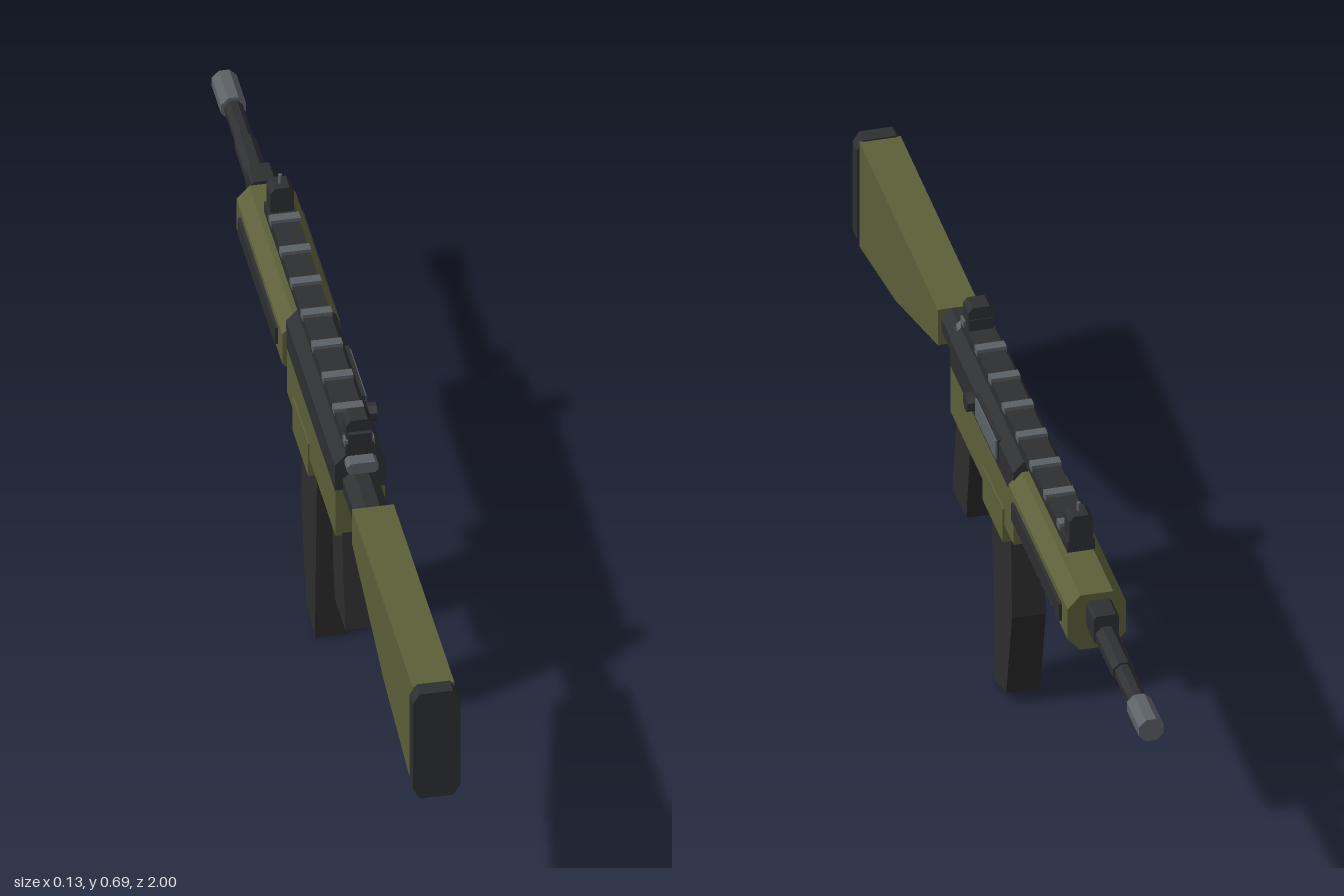
import * as THREE from 'three';

const mat = (name, color) => {
  const m = new THREE.MeshStandardMaterial({ color });
  m.name = name;
  return m;
};

export function createModel() {
  const black = mat('black metal', 0x2e2f31);
  const polymer = mat('black polymer', 0x2d2d2d);
  const green = mat('olive green', 0x5c6038);
  const steel = mat('grey steel', 0x5c6167);

  const model = new THREE.Group();
  model.name = 'rifle';
  const body = new THREE.Group();
  body.name = 'body';
  body.position.x = -0.003;
  model.add(body);

  const add = (name, geo, material) => {
    const g = geo.index ? geo.toNonIndexed() : geo;
    g.computeVertexNormals(); // flat facets
    const mesh = new THREE.Mesh(g, material);
    mesh.name = name;
    body.add(mesh);
    return mesh;
  };
  const toShape = (pts) => new THREE.Shape(pts.map(([x, y]) => new THREE.Vector2(x, y)));

  // Box given by half width and y / z ranges
  const box = (name, material, hw, y0, y1, z0, z1, x = 0) =>
    add(name, new THREE.BoxGeometry(hw * 2, y1 - y0, Math.abs(z1 - z0))
      .translate(x, (y0 + y1) / 2, (z0 + z1) / 2), material);

  // Side profile of [z, y] points, extruded across x
  const side = (name, material, hw, pts) =>
    add(name, new THREE.ExtrudeGeometry(toShape(pts), { depth: hw * 2, bevelEnabled: false })
      .translate(0, 0, -hw).rotateY(-Math.PI / 2), material);

  // Cross-section with separate top and bottom chamfers, extruded along z
  const bar = (name, material, hw, y0, y1, zMin, zMax, top, bottom) => {
    const [tx, ty] = top, [bx, by] = bottom;
    const half = [[hw - bx, y0], [hw, y0 + by], [hw, y1 - ty], [hw - tx, y1]];
    const pts = [...half, ...half.map(([x, y]) => [-x, y]).reverse()]
      .filter((p, i, a) => i === 0 || p[0] !== a[i - 1][0] || p[1] !== a[i - 1][1]);
    return add(name, new THREE.ExtrudeGeometry(toShape(pts), { depth: zMax - zMin, bevelEnabled: false })
      .translate(0, 0, zMin), material);
  };

  // Faceted rod along z
  const rod = (name, material, r, y, zMin, zMax, sides = 8) =>
    add(name, new THREE.CylinderGeometry(r, r, zMax - zMin, sides)
      .rotateY(Math.PI / sides).rotateX(Math.PI / 2).translate(0, y, (zMin + zMax) / 2), material);

  // Stock
  side('stock', green, 0.039, [[0.97, 0.342], [0.97, 0.57], [0.4, 0.565], [0.4, 0.488], [0.705, 0.391]]);
  bar('buttPlate', black, 0.044, 0.338, 0.573, 0.968, 1, [0.013, 0.02], [0.013, 0.022]);
  rod('stockTube', black, 0.035, 0.532, 0.27, 0.42);

  // Receiver
  bar('upperReceiver', black, 0.047, 0.522, 0.6, -0.18, 0.28, [0.02, 0.022], [0, 0]);
  box('lowerReceiver', green, 0.046, 0.42, 0.523, -0.178, 0.28);
  box('magazineWell', green, 0.049, 0.383, 0.455, -0.11, 0.038);
  bar('chargingHandle', steel, 0.029, 0.574, 0.597, 0.27, 0.307, [0.006, 0.006], [0.006, 0.006]);
  box('ejectionPortFrame', black, 0.004, 0.533, 0.584, -0.075, 0.085, 0.045);
  box('ejectionPort', steel, 0.004, 0.538, 0.579, -0.07, 0.078, 0.048);
  add('boltAssist', new THREE.CylinderGeometry(0.018, 0.018, 0.03, 8)
    .rotateY(Math.PI / 8).rotateZ(Math.PI / 2).translate(0.05, 0.558, 0.1), black);

  // Grip, trigger and guard
  side('grip', polymer, 0.034, [[0.28, 0.425], [0.18, 0.425], [0.212, 0.229], [0.313, 0.229]]);
  box('trigger', steel, 0.006, 0.368, 0.425, 0.117, 0.128);
  box('triggerGuardBottom', black, 0.014, 0.332, 0.343, 0.05, 0.17);
  box('triggerGuardFront', black, 0.014, 0.332, 0.425, 0.048, 0.059);

  // Magazine
  side('magazine', polymer, 0.032,
    [[0.037, 0.4], [0.016, 0], [-0.07, 0.026], [-0.112, 0.215], [-0.104, 0.4]]);

  // Handguard with side panels and lower rail
  bar('handguard', green, 0.055, 0.46, 0.578, -0.605, -0.175, [0.024, 0.026], [0.024, 0.026]);
  for (const s of [-1, 1]) {
    box('handguardPanel', black, 0.005, 0.502, 0.538, -0.565, -0.215, s * 0.056);
  }
  box('lowerRail', black, 0.027, 0.445, 0.465, -0.56, -0.215);

  // Top rail with cross ribs
  box('topRail', black, 0.026, 0.599, 0.622, -0.492, 0.28);
  for (let i = 0; i < 8; i++) {
    const z = -0.43 + i * 0.0995;
    box('railRib', steel, 0.028, 0.615, 0.629, z - 0.01, z + 0.01);
  }

  // Sights
  bar('rearSight', black, 0.024, 0.622, 0.67, 0.234, 0.273, [0.008, 0.01], [0, 0]);
  box('rearSightBase', black, 0.022, 0.618, 0.645, 0.232, 0.282);
  bar('frontSight', black, 0.022, 0.62, 0.675, -0.492, -0.454, [0.008, 0.01], [0, 0]);
  add('frontSightPost', new THREE.CylinderGeometry(0.004, 0.004, 0.03, 6)
    .translate(0, 0.678, -0.473), steel);

  // Barrel, gas block and muzzle
  rod('barrelBase', black, 0.022, 0.53, -0.8, -0.58);
  rod('barrel', black, 0.018, 0.53, -0.93, -0.78);
  bar('gasBlock', black, 0.024, 0.515, 0.574, -0.675, -0.62, [0.005, 0.006], [0.006, 0.006]);
  rod('muzzle', steel, 0.025, 0.53, -1, -0.912);

  return model;
}
